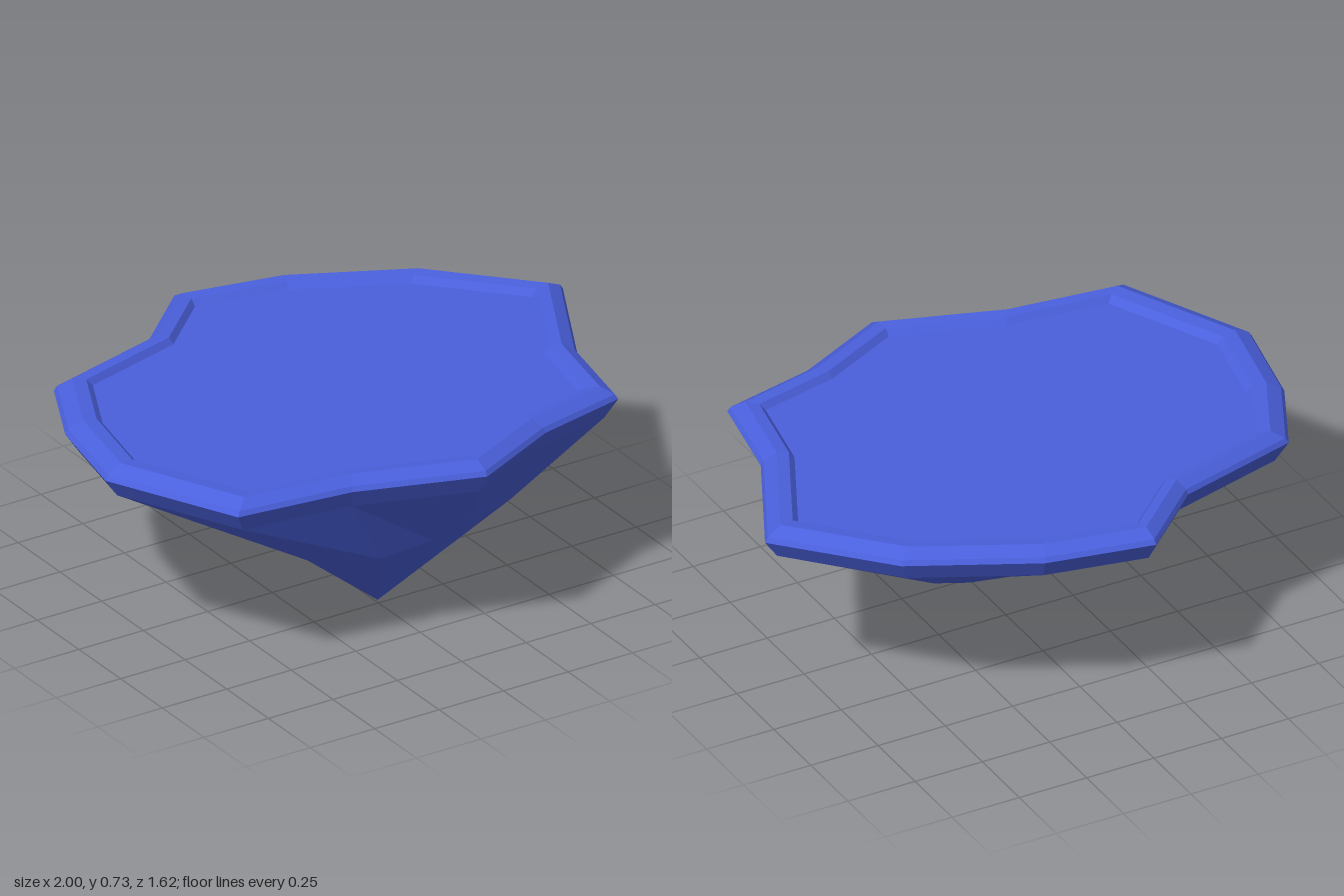
import * as THREE from 'three';

// Rim outline seen from above, [x, z], clockwise from the back
const OUTLINE = [
  [-0.11, -0.815], [0.26, -0.74], [0.68, -0.53], [1.0, -0.19], [0.785, 0.23],
  [0.72, 0.575], [0.39, 0.65], [0.06, 0.81], [-0.37, 0.665], [-0.78, 0.615],
  [-1.0, 0.16], [-0.93, -0.19], [-0.79, -0.475], [-0.35, -0.595],
];
// Matching waist of the pointed underside
const WAIST = [
  [0.0, -0.3], [0.14, -0.265], [0.37, -0.185], [0.44, -0.08], [0.51, 0.24],
  [0.41, 0.41], [0.21, 0.47], [0.035, 0.52], [-0.18, 0.54], [-0.385, 0.42],
  [-0.39, 0.23], [-0.36, 0.05], [-0.32, -0.1], [-0.2, -0.27],
];
const TIP = [0.01, 0, 0.23];

const material = new THREE.MeshStandardMaterial({ color: 0x4a60dc, flatShading: true });

const ringAt = (points, y, scale = 1) => points.map(([x, z]) => [x * scale, y, z * scale]);

// Skin successive rings from bottom to top with outward faces
function loft(rings) {
  const pos = [];
  for (let r = 0; r < rings.length - 1; r++) {
    const lo = rings[r], hi = rings[r + 1];
    lo.forEach((a, i) => {
      const j = (i + 1) % lo.length;
      pos.push(...lo[j], ...a, ...hi[j], ...a, ...hi[i], ...hi[j]);
    });
  }
  return pos;
}

// Close a ring with a fan to one point
function fan(ring, centre, up) {
  return ring.flatMap((a, i) => {
    const b = ring[(i + 1) % ring.length];
    return up ? [...centre, ...b, ...a] : [...centre, ...a, ...b];
  });
}

function part(name, positions) {
  const g = new THREE.BufferGeometry();
  g.setAttribute('position', new THREE.Float32BufferAttribute(positions, 3));
  g.computeVertexNormals();
  const mesh = new THREE.Mesh(g, material);
  mesh.name = name;
  return mesh;
}

export function createModel() {
  const group = new THREE.Group();
  group.name = 'floatingPlatform';

  // Faceted underside tapering to an off-centre tip
  const waist = ringAt(WAIST, 0.335);
  const rimBase = ringAt(OUTLINE, 0.615, 0.95);
  group.add(part('underside', [...fan(waist, TIP, false), ...loft([waist, rimBase])]));

  // Bevelled rim with a raised lip
  const floorRing = ringAt(OUTLINE, 0.702, 0.862);
  group.add(part('rim', loft([
    rimBase,
    ringAt(OUTLINE, 0.685),
    ringAt(OUTLINE, 0.702, 0.988),
    ringAt(OUTLINE, 0.728, 0.935),
    ringAt(OUTLINE, 0.724, 0.885),
    floorRing,
  ])));

  // Slightly sunken flat top
  group.add(part('topSurface', fan(floorRing, [0, 0.702, 0], true)));

  return group;
}
